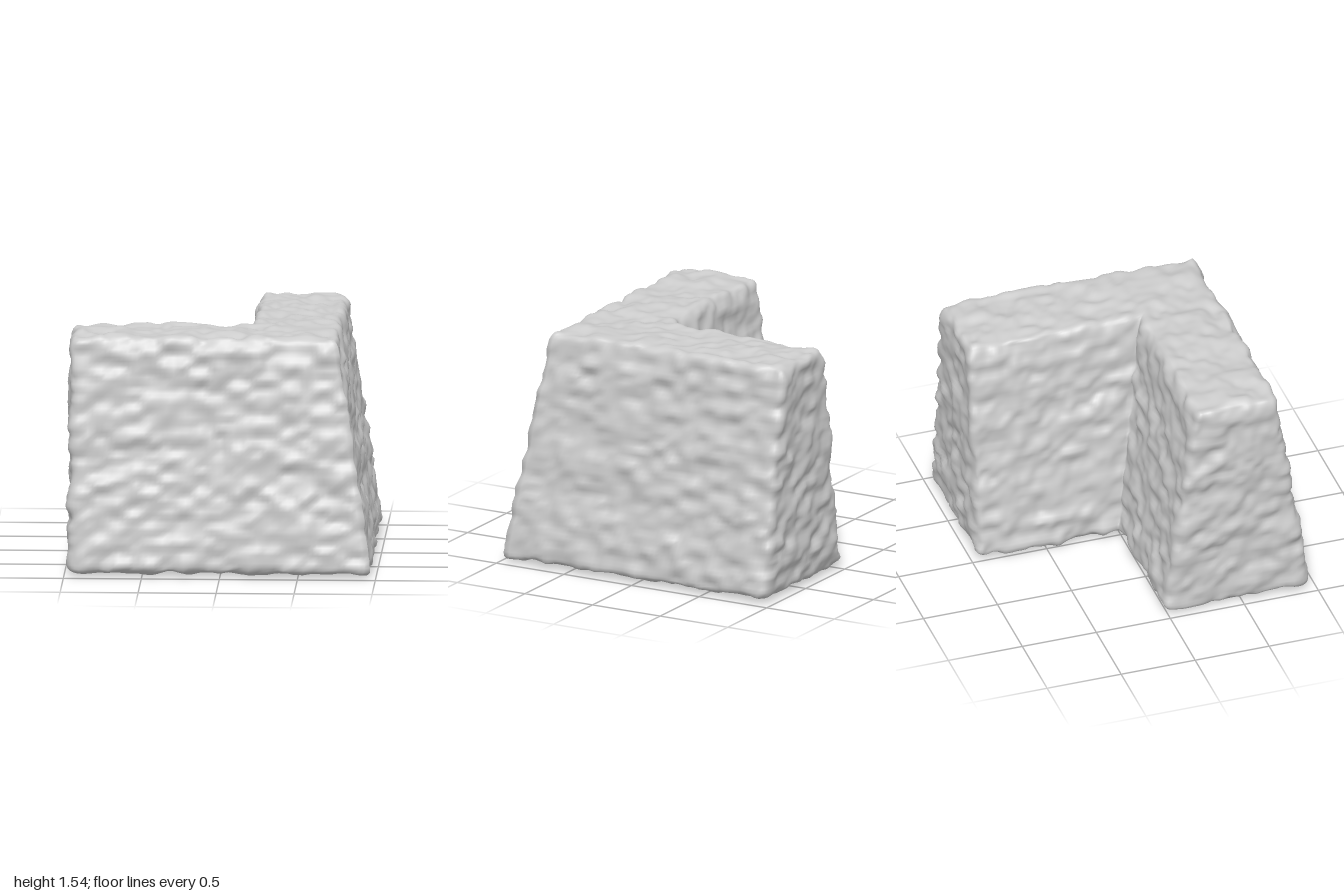
import * as THREE from 'three';
import { mergeVertices } from 'three/addons/utils/BufferGeometryUtils.js';

const LENGTH = 2.8, HEIGHT = 1.5, DEPTH = 0.8, BASE = 0.03, END = -0.97;
const { lerp, clamp, smoothstep } = THREE.MathUtils;

// Seeded lattice value in -1..1
function lattice(x, y, z) {
  let h = Math.imul(x, 374761393) ^ Math.imul(y, 668265263) ^ Math.imul(z, 2147483647 - 58791);
  h = Math.imul(h ^ (h >>> 13), 1274126177);
  h = Math.imul(h ^ (h >>> 15), 2246822519);
  return ((h ^ (h >>> 16)) >>> 0) / 2147483648 - 1;
}

// Smoothly interpolated 3D noise
function noise(x, y, z) {
  const i = Math.floor(x), j = Math.floor(y), k = Math.floor(z);
  const u = smoothstep(x - i, 0, 1), v = smoothstep(y - j, 0, 1), w = smoothstep(z - k, 0, 1);
  const row = (b, c) => lerp(lattice(i, b, c), lattice(i + 1, b, c), u);
  const layer = (c) => lerp(row(j, c), row(j + 1, c), v);
  return lerp(layer(k), layer(k + 1), w);
}

// Round the edges of the straight block
function roundEdges(p, radius) {
  const half = new THREE.Vector3(LENGTH / 2 - radius, HEIGHT / 2 - radius, DEPTH / 2 - radius);
  const core = p.clone().clamp(half.clone().negate(), half);
  const out = p.clone().sub(core);
  if (out.lengthSq() > 0) p.copy(core).addScaledVector(out.normalize(), radius);
}

// Taper the block towards the top and bend it into a mitred corner
function bendToCorner(p) {
  const u = clamp(p.x / (LENGTH / 2), -1, 1);
  const h = p.y / HEIGHT + 0.5;
  const t = p.z / DEPTH + 0.5;
  const d = lerp(lerp(-0.03, 0.19, h), lerp(0.97, 0.745, h), t);
  const y = BASE + h * HEIGHT;
  if (u < 0) p.set(lerp(END, d, 1 + u), y, d);
  else p.set(d, y, lerp(d, END, u));
}

function createWallGeometry() {
  let geometry = new THREE.BoxGeometry(LENGTH, HEIGHT, DEPTH, 120, 60, 34);
  geometry.deleteAttribute('uv');
  geometry.deleteAttribute('normal');
  geometry = mergeVertices(geometry);
  const position = geometry.attributes.position;
  const p = new THREE.Vector3(), n = new THREE.Vector3();

  for (let i = 0; i < position.count; i++) {
    p.fromBufferAttribute(position, i);
    roundEdges(p, 0.06);
    bendToCorner(p);
    position.setXYZ(i, p.x, p.y, p.z);
  }
  geometry.computeVertexNormals();

  // Rough stone: broad lumps plus smaller chips, wider than tall
  const normal = geometry.attributes.normal;
  for (let i = 0; i < position.count; i++) {
    p.fromBufferAttribute(position, i);
    n.fromBufferAttribute(normal, i);
    const lumps = noise(p.x / 0.11, p.y / 0.075, p.z / 0.11);
    const chips = noise(p.x / 0.06 + 40, p.y / 0.045 + 17, p.z / 0.06 + 9);
    p.addScaledVector(n, 0.021 * lumps + 0.01 * chips);
    position.setXYZ(i, p.x, Math.max(p.y, 0), p.z);
  }
  geometry.computeVertexNormals();
  return geometry;
}

export function createModel() {
  const group = new THREE.Group();
  group.name = 'stoneWallCorner';
  const wall = new THREE.Mesh(createWallGeometry(), new THREE.MeshStandardMaterial({ color: 0xcccccc }));
  wall.name = 'cornerWall';
  group.add(wall);
  return group;
}
